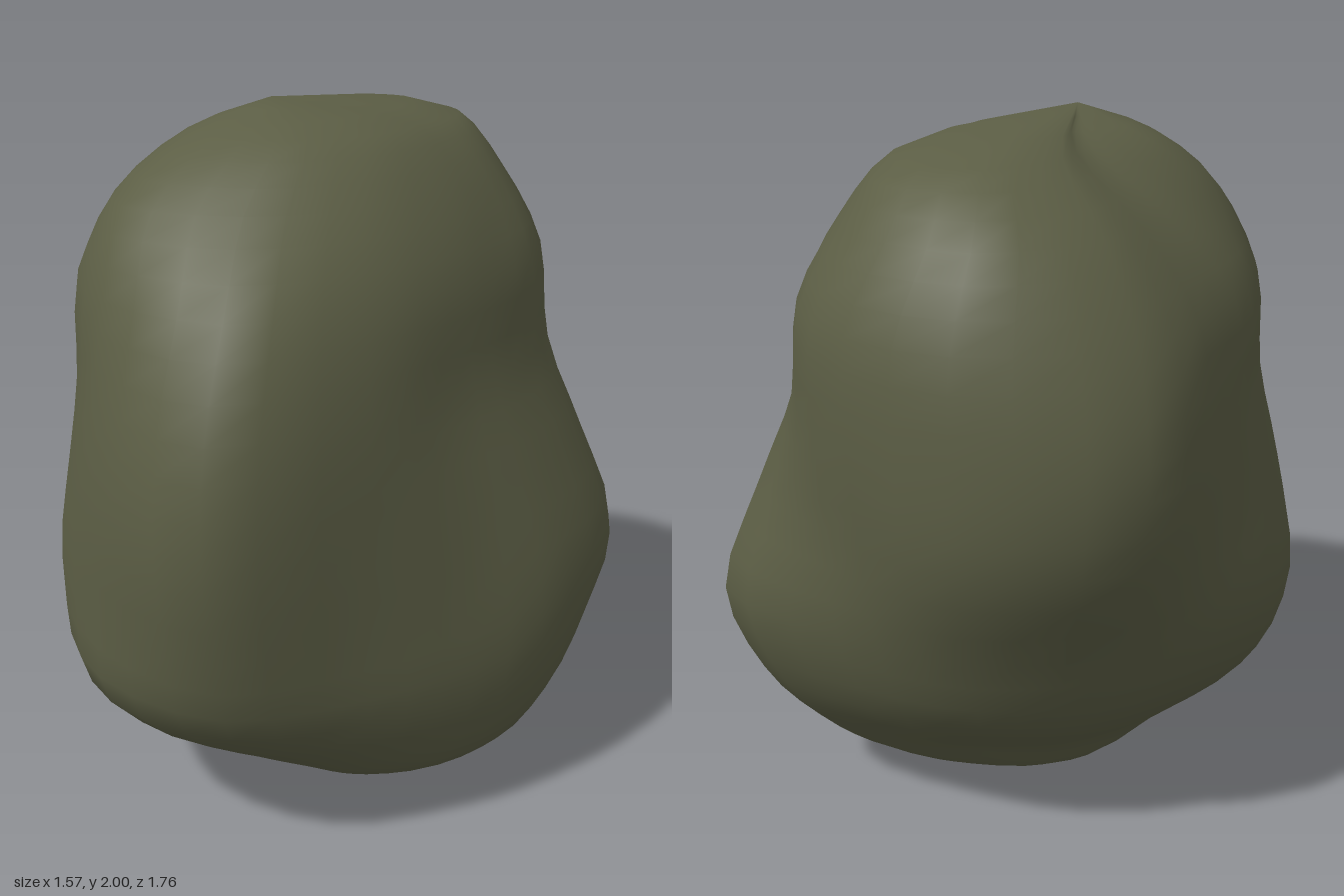
import * as THREE from 'three';
import { mergeVertices } from 'three/addons/utils/BufferGeometryUtils.js';

// Cross-sections: height, centre x, centre z, then 12 radii every 30 degrees
// from +x through the front (+z), -x and the back (-z).
const SECTIONS = [
  [0.03, 0.1, 0.02, 0.17, 0.17, 0.16, 0.16, 0.16, 0.17, 0.18, 0.17, 0.16, 0.16, 0.17, 0.18],
  [0.11, 0.07, 0.02, 0.38, 0.34, 0.3, 0.28, 0.31, 0.36, 0.38, 0.34, 0.29, 0.26, 0.32, 0.41],
  [0.22, 0.05, 0.05, 0.55, 0.47, 0.42, 0.4, 0.45, 0.5, 0.51, 0.44, 0.4, 0.38, 0.47, 0.61],
  [0.45, 0, 0, 0.71, 0.61, 0.62, 0.73, 0.77, 0.74, 0.7, 0.6, 0.58, 0.59, 0.64, 0.79],
  [0.72, 0, 0, 0.72, 0.6, 0.64, 0.83, 0.8, 0.78, 0.78, 0.72, 0.71, 0.73, 0.74, 0.88],
  [1.02, 0, 0, 0.63, 0.56, 0.63, 0.88, 0.8, 0.74, 0.73, 0.71, 0.85, 0.86, 0.76, 0.77],
  [1.3, 0, 0, 0.53, 0.5, 0.6, 0.84, 0.77, 0.69, 0.66, 0.69, 0.88, 0.88, 0.78, 0.65],
  [1.56, 0, 0, 0.48, 0.46, 0.53, 0.71, 0.72, 0.68, 0.63, 0.64, 0.8, 0.85, 0.77, 0.61],
  [1.77, -0.03, -0.1, 0.42, 0.42, 0.49, 0.61, 0.68, 0.56, 0.43, 0.41, 0.55, 0.65, 0.61, 0.5],
  [1.92, -0.02, -0.12, 0.26, 0.27, 0.33, 0.43, 0.48, 0.38, 0.24, 0.2, 0.3, 0.43, 0.44, 0.34],
];
const BOTTOM = new THREE.Vector3(0.1, 0, 0.02);
const TOP = new THREE.Vector3(-0.13, 2, 0.08);
const AROUND = 36;
const UP = 33;

function boulderGeometry() {
  // Smooth closed curve for every cross-section
  const loops = SECTIONS.map(([y, cx, cz, ...radii]) => {
    const points = radii.map((r, k) => {
      const a = (k / radii.length) * Math.PI * 2;
      return new THREE.Vector3(cx + r * Math.cos(a), y, cz + r * Math.sin(a));
    });
    return new THREE.CatmullRomCurve3(points, true);
  });

  // Columns run from the bottom point through each loop to the top point
  const positions = [];
  for (let j = 0; j < AROUND; j++) {
    const column = [BOTTOM, ...loops.map((loop) => loop.getPoint(j / AROUND)), TOP];
    const curve = new THREE.CatmullRomCurve3(column);
    for (let i = 0; i <= UP; i++) positions.push(...curve.getPoint(i / UP).toArray());
  }

  // Quads between neighbouring columns, single triangles at both end points
  const index = [];
  for (let j = 0; j < AROUND; j++) {
    const here = j * (UP + 1);
    const next = ((j + 1) % AROUND) * (UP + 1);
    for (let i = 0; i < UP; i++) {
      if (i > 0) index.push(here + i, here + i + 1, next + i);
      if (i < UP - 1) index.push(here + i + 1, next + i + 1, next + i);
    }
  }

  const geometry = new THREE.BufferGeometry();
  geometry.setAttribute('position', new THREE.Float32BufferAttribute(positions, 3));
  geometry.setIndex(index);
  const merged = mergeVertices(geometry, 1e-4); // joins the columns at the end points
  merged.computeVertexNormals();
  return merged;
}

export function createModel() {
  const stone = new THREE.MeshStandardMaterial({ color: 0x5c5e45 });
  stone.name = 'mossy stone';

  const boulder = new THREE.Mesh(boulderGeometry(), stone);
  boulder.name = 'boulder';

  const group = new THREE.Group();
  group.name = 'rock';
  group.add(boulder);
  return group;
}
